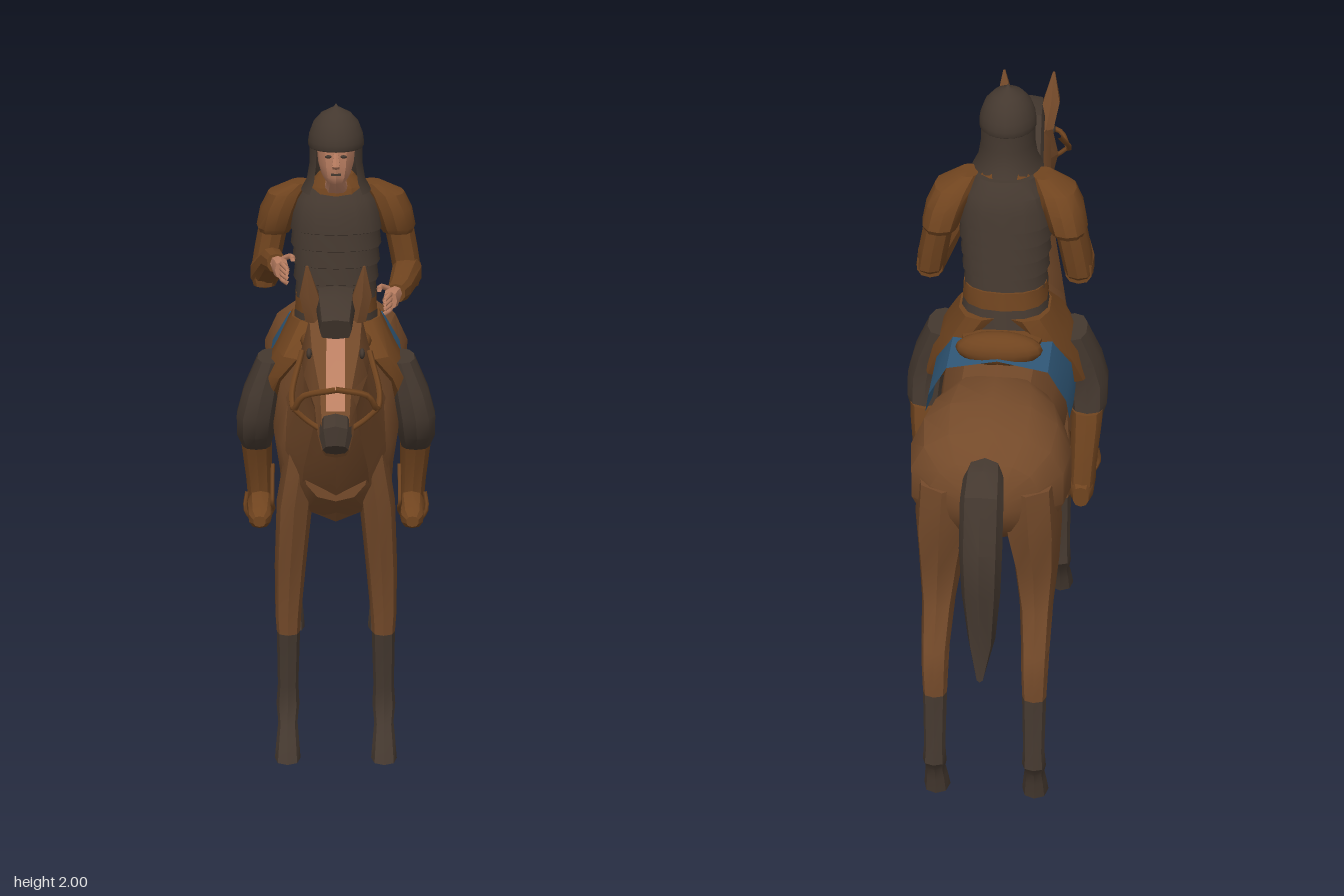
import * as THREE from 'three';
import { toCreasedNormals } from 'three/addons/utils/BufferGeometryUtils.js';

const mat = (name, color, extra = {}) => Object.assign(new THREE.MeshStandardMaterial({ color, ...extra }), { name });

export function createModel() {
  const root = new THREE.Group();
  root.name = 'horseAndRider';
  const coat = mat('chestnut coat', 0x744a2a);
  const leather = mat('brown leather', 0x70441f);
  const dark = mat('dark iron and hair', 0x44382f, { side: THREE.DoubleSide });
  const skin = mat('skin', 0xbb7f62, { side: THREE.DoubleSide });
  const blue = mat('blue cloth', 0x305878, { side: THREE.DoubleSide });

  const add = (name, geo, material, parent = root) => {
    const m = new THREE.Mesh(geo, material);
    m.name = name;
    parent.add(m);
    return m;
  };

  // Skin over rings; each ring is [zA, yA, zB, yB, halfWidth, centreX]
  function loft(rings, n = 10, power = 0.85, crease = 0.55) {
    const pos = [], idx = [];
    const bulge = (t) => Math.sign(t) * Math.pow(Math.abs(t), power);
    for (const [za, ya, zb, yb, w, cx = 0] of rings) {
      for (let i = 0; i < n; i++) {
        const a = (i / n) * Math.PI * 2;
        const c = Math.abs(Math.cos(a)) < 1e-6 ? 0 : bulge(Math.cos(a));
        const s = Math.abs(Math.sin(a)) < 1e-6 ? 0 : bulge(Math.sin(a));
        pos.push(cx + w * s, (ya + yb) / 2 + ((ya - yb) / 2) * c, (za + zb) / 2 + ((za - zb) / 2) * c);
      }
    }
    const last = (rings.length - 1) * n;
    for (let r = 0; r < last; r += n) {
      for (let i = 0; i < n; i++) {
        const j = (i + 1) % n;
        idx.push(r + i, r + n + i, r + j, r + j, r + n + i, r + n + j);
      }
    }
    for (const [za, ya, zb, yb, , cx = 0] of [rings[0], rings[rings.length - 1]]) pos.push(cx, (ya + yb) / 2, (za + zb) / 2);
    for (let i = 0; i < n; i++) {
      const j = (i + 1) % n;
      idx.push(last + n, i, j, last + n + 1, last + j, last + i);
    }
    // Turn the faces outward if the enclosed volume is negative
    const v = (k) => new THREE.Vector3().fromArray(pos, k * 3);
    let volume = 0;
    for (let k = 0; k < idx.length; k += 3) volume += v(idx[k]).dot(v(idx[k + 1]).cross(v(idx[k + 2])));
    if (volume < 0) idx.reverse();
    const g = new THREE.BufferGeometry();
    g.setAttribute('position', new THREE.Float32BufferAttribute(pos, 3));
    g.setIndex(idx);
    return toCreasedNormals(g, crease);
  }
  const level = (y, zFront, zBack, w, cx) => [zFront, y, zBack, y, w, cx];
  const upright = (z, yTop, yBottom, w) => [z, yTop, z, yBottom, w];

  // Open or thin sheet from rows of points of equal length
  function sheet(rows) {
    const n = rows[0].length, idx = [];
    for (let r = 0; r < rows.length - 1; r++) {
      for (let i = 0; i < n - 1; i++) {
        const a = r * n + i;
        idx.push(a, a + 1, a + n, a + 1, a + n + 1, a + n);
      }
    }
    const g = new THREE.BufferGeometry();
    g.setAttribute('position', new THREE.Float32BufferAttribute(rows.flat(2), 3));
    g.setIndex(idx);
    return toCreasedNormals(g, 0.5);
  }
  const tube = (pts, r) => new THREE.TubeGeometry(
    new THREE.CatmullRomCurve3(pts.map((p) => new THREE.Vector3(...p))), 20, r, 5);
  const ball = (name, x, y, z, sx, sy, sz, material) => {
    const m = add(name, new THREE.SphereGeometry(1, 16, 10), material);
    m.position.set(x, y, z);
    m.scale.set(sx, sy, sz);
  };

  // Horse body
  add('barrel', loft([upright(0.4, 1.12, 0.88, 0.1), upright(0.3, 1.25, 0.79, 0.165), upright(0.12, 1.27, 0.74, 0.19),
    upright(-0.1, 1.25, 0.73, 0.2), upright(-0.35, 1.25, 0.76, 0.185), upright(-0.55, 1.25, 0.8, 0.18)], 12), coat);
  add('rump', loft([upright(-0.43, 1.245, 0.86, 0.185), upright(-0.48, 1.255, 0.8, 0.215), upright(-0.6, 1.26, 0.81, 0.24),
    upright(-0.72, 1.225, 0.86, 0.225), upright(-0.8, 1.17, 0.93, 0.16), upright(-0.84, 1.1, 1.0, 0.07)], 14), coat);
  add('neck', loft([[0.08, 1.25, 0.3, 0.78, 0.17], [0.2, 1.28, 0.46, 0.97, 0.15], [0.4, 1.41, 0.55, 1.14, 0.1],
    [0.58, 1.55, 0.64, 1.3, 0.085], [0.66, 1.56, 0.68, 1.32, 0.08]], 10), coat);
  add('head', loft([[0.57, 1.55, 0.6, 1.32, 0.06], [0.69, 1.565, 0.66, 1.28, 0.1], [0.79, 1.5, 0.76, 1.275, 0.09],
    [0.9, 1.39, 0.87, 1.27, 0.058], [0.98, 1.31, 0.9, 1.225, 0.05], [0.985, 1.255, 0.945, 1.2, 0.038]], 8), coat);
  add('blaze', sheet([[0.765, 1.538], [0.79, 1.508], [0.903, 1.397], [0.96, 1.34]].map(([z, y]) =>
    [-0.026, 0.026].map((x) => [x, y, z + 0.003]))), skin);
  add('muzzle', loft([[0.967, 1.335, 0.925, 1.265, 0.043], [0.99, 1.305, 0.95, 1.235, 0.045], [0.992, 1.25, 0.962, 1.215, 0.035]], 8), dark);
  add('mane', loft([[0.82, 1.56, 0.8, 1.5, 0.045], [0.71, 1.6, 0.7, 1.52, 0.055], [0.6, 1.6, 0.58, 1.52, 0.06],
    [0.4, 1.47, 0.36, 1.37, 0.072], [0.2, 1.33, 0.2, 1.24, 0.055]], 8, 0.5), dark);
  add('tail', loft([[-0.77, 1.18, -0.8, 1.1, 0.05], [-0.85, 1.175, -0.82, 1.1, 0.058], [-0.92, 1.13, -0.85, 1.07, 0.062],
    [-0.98, 0.97, -0.875, 0.95, 0.062], [-0.985, 0.82, -0.865, 0.8, 0.056], [-0.96, 0.63, -0.86, 0.65, 0.04],
    [-0.98, 0.53, -0.93, 0.55, 0.012]], 8), dark);

  for (const s of [1, -1]) {
    const side = s > 0 ? 'left' : 'right';
    // Horse legs with dark lower parts and hooves
    add(side + 'FrontLeg', loft([level(1.02, 0.38, 0.14, 0.05, s * 0.1), level(0.84, 0.37, 0.16, 0.055, s * 0.125),
      level(0.62, 0.31, 0.18, 0.048, s * 0.14), level(0.46, 0.288, 0.195, 0.04, s * 0.147), level(0.4, 0.283, 0.2, 0.036, s * 0.147)], 8), coat);
    add(side + 'FrontSock', loft([level(0.4, 0.283, 0.2, 0.036, s * 0.147), level(0.22, 0.262, 0.2, 0.032, s * 0.149),
      level(0.15, 0.26, 0.185, 0.036, s * 0.15), level(0.1, 0.285, 0.22, 0.03, s * 0.15), level(0.055, 0.32, 0.24, 0.035, s * 0.15),
      level(0, 0.36, 0.25, 0.04, s * 0.15)], 8), dark);
    add(side + 'HindLeg', loft([level(1.08, -0.53, -0.83, 0.085, s * 0.12), level(0.92, -0.53, -0.835, 0.085, s * 0.13),
      level(0.78, -0.56, -0.795, 0.068, s * 0.14), level(0.65, -0.655, -0.8, 0.05, s * 0.145), level(0.53, -0.745, -0.855, 0.042, s * 0.148),
      level(0.47, -0.775, -0.87, 0.04, s * 0.148), level(0.38, -0.8, -0.868, 0.036, s * 0.148)], 8), coat);
    add(side + 'HindSock', loft([level(0.38, -0.8, -0.868, 0.036, s * 0.148), level(0.2, -0.83, -0.88, 0.032, s * 0.149),
      level(0.14, -0.82, -0.888, 0.036, s * 0.15), level(0.1, -0.8, -0.86, 0.03, s * 0.15), level(0.055, -0.775, -0.85, 0.035, s * 0.15),
      level(0, -0.74, -0.845, 0.04, s * 0.15)], 8), dark);

    // Horse ear, eye and bridle
    add(side + 'Ear', loft([level(1.52, 0.71, 0.64, 0.028, s * 0.06), level(1.6, 0.725, 0.67, 0.03, s * 0.075),
      level(1.69, 0.728, 0.718, 0.004, s * 0.08)], 6), coat);
    ball(side + 'HorseEye', s * 0.074, 1.455, 0.79, 0.008, 0.015, 0.02, dark);
    add(side + 'Bridle', tube([[s * 0.095, 1.45, 0.75], [s * 0.122, 1.36, 0.86], [s * 0.115, 1.33, 0.91], [s * 0.09, 1.375, 0.935],
      [0, 1.395, 0.94]], 0.009), leather);
    add(side + 'BitStrap', tube([[s * 0.115, 1.33, 0.91], [s * 0.08, 1.3, 0.915], [s * 0.045, 1.28, 0.93]], 0.008), leather);

    // Rider's coat skirt, trousers and boot
    add(side + 'CoatSkirt', loft([level(1.32, -0.01, -0.25, 0.08, s * 0.06), level(1.23, 0.085, -0.25, 0.065, s * 0.12),
      level(1.16, 0.06, -0.21, 0.05, s * 0.175), level(1.06, 0.0, -0.15, 0.045, s * 0.21)], 10), leather);
    add(side + 'Trousers', loft([level(1.2, 0.03, -0.14, 0.045, s * 0.2), level(1.1, 0.045, -0.13, 0.06, s * 0.23),
      level(1.02, 0.045, -0.12, 0.065, s * 0.247), level(0.95, 0.02, -0.135, 0.06, s * 0.252), level(0.9, -0.03, -0.14, 0.045, s * 0.25)], 10), dark);
    add(side + 'BootShaft', loft([level(0.94, -0.02, -0.15, 0.05, s * 0.25), level(0.9, -0.035, -0.16, 0.049, s * 0.25),
      level(0.78, -0.08, -0.185, 0.042, s * 0.245), level(0.68, -0.09, -0.2, 0.04, s * 0.24)], 10), leather);
    add(side + 'BootFoot', loft([upright(0.03, 0.7, 0.665, 0.02), upright(0.0, 0.715, 0.65, 0.035), upright(-0.08, 0.745, 0.645, 0.042),
      upright(-0.17, 0.74, 0.635, 0.038), upright(-0.2, 0.71, 0.64, 0.025)].map((r) => [...r, s * 0.24]), 10), leather);
    add(side + 'Stirrup', tube([[s * 0.2, 0.84, -0.07], [s * 0.2, 0.74, 0.01], [s * 0.2, 0.7, -0.03], [s * 0.24, 0.645, -0.05],
      [s * 0.285, 0.7, -0.03], [s * 0.28, 0.76, -0.04]], 0.007), leather);

    // Rider's arm and hand; the right hand is held higher
    const hy = s > 0 ? 1.445 : 1.525, hz = s > 0 ? 0.1 : 0.045;
    add(side + 'Sleeve', loft([level(1.745, -0.06, -0.15, 0.03, s * 0.11), level(1.71, -0.045, -0.195, 0.06, s * 0.15),
      level(1.66, -0.04, -0.225, 0.062, s * 0.172), level(1.6, -0.05, -0.235, 0.058, s * 0.188), level(1.585, -0.06, -0.225, 0.05, s * 0.19)], 12), leather);
    add(side + 'UpperArm', loft([level(1.62, -0.07, -0.22, 0.047, s * 0.19), level(1.52, -0.07, -0.215, 0.046, s * 0.21),
      level(1.45, -0.065, -0.205, 0.045, s * 0.222), [-0.07, 1.415, -0.16, 1.415, 0.035, s * 0.222]], 10), leather);
    add(side + 'Forearm', loft([upright(-0.18, 1.5, 1.42, 0.04), upright(-0.1, 1.51, 1.405, 0.047), upright(hz - 0.05, hy + 0.035, hy - 0.04, 0.036),
      upright(hz + 0.01, hy + 0.03, hy - 0.03, 0.03)].map((r, i) => [...r, s * [0.222, 0.22, 0.195, 0.18][i]]), 10), leather);
    add(side + 'Hand', loft([upright(hz, hy + 0.022, hy - 0.022, 0.022), upright(hz + 0.05, hy + 0.03, hy - 0.035, 0.025),
      upright(hz + 0.085, hy + 0.025, hy - 0.03, 0.022)].map((r, i) => [...r, s * [0.18, 0.168, 0.162][i]]), 8), skin);
    for (let f = 0; f < 4; f++) {
      const y = hy + 0.018 - f * 0.016;
      add(side + 'Finger', tube([[s * 0.165, y, hz + 0.08], [s * 0.158, y + 0.003, hz + 0.11], [s * 0.145, y - 0.006, hz + 0.128 - f * 0.006]], 0.0075), skin);
    }
    add(side + 'Thumb', tube([[s * 0.16, hy + 0.02, hz + 0.03], [s * 0.135, hy + 0.035, hz + 0.06], [s * 0.13, hy + 0.032, hz + 0.085]], 0.009), skin);

    ball(side + 'Eye', s * 0.023, 1.853, 0.046, 0.01, 0.005, 0.006, dark);
  }

  // Saddle cloth draped over the back, saddle seat and rolls
  const drape = (z, low) => [[-0.215, low], [-0.205, 1.15], [-0.15, 1.245], [0, 1.275], [0.15, 1.245], [0.205, 1.15], [0.215, low]]
    .map(([x, y]) => [x, y, z]);
  add('saddleCloth', sheet([drape(-0.41, 1.09), drape(-0.22, 1.03), drape(-0.14, 1.03), drape(0.03, 1.11)]), blue);
  add('saddleSeat', loft([upright(0.08, 1.29, 1.2, 0.08), upright(-0.05, 1.29, 1.2, 0.13), upright(-0.22, 1.29, 1.2, 0.13), upright(-0.34, 1.29, 1.22, 0.1)]), leather);
  ball('frontSaddleRoll', 0, 1.28, 0.05, 0.11, 0.05, 0.05, leather);
  ball('rearSaddleRoll', 0, 1.282, -0.345, 0.13, 0.052, 0.052, leather);

  // Rider's torso: coat hem, belt and banded armour
  add('armourHem', loft([level(1.27, 0.0, -0.255, 0.14), level(1.37, 0.0, -0.225, 0.125)], 14), dark);
  add('belt', loft([level(1.345, 0.008, -0.235, 0.13), level(1.4, 0.008, -0.228, 0.127)], 14), leather);
  const bands = [];
  for (let i = 0; i < 5; i++) {
    const y = 1.39 + i * 0.054, grow = i * 0.004;
    bands.push(level(y, 0.012 + grow, -0.222 - grow, 0.128 + grow), level(y + 0.05, 0.004 + grow, -0.212 - grow, 0.122 + grow));
  }
  add('armour', loft([...bands, level(1.7, 0.0, -0.215, 0.125), level(1.745, -0.03, -0.18, 0.09)], 16), dark);
  add('collar', loft([level(1.68, -0.005, -0.17, 0.09), level(1.74, -0.015, -0.165, 0.085), level(1.775, -0.04, -0.14, 0.055)], 12), leather);
  add('chestOpening', sheet([[[-0.05, 1.735, -0.008], [0.05, 1.735, -0.008]], [[-0.045, 1.69, 0.014], [0.045, 1.69, 0.014]],
    [[-0.02, 1.645, 0.027], [0.02, 1.645, 0.027]]]), leather.clone().copy(leather) && leather);

  // Rider's head
  add('face', loft([level(1.72, -0.02, -0.12, 0.045), level(1.765, 0.03, -0.12, 0.032), level(1.785, 0.04, -0.12, 0.045),
    level(1.82, 0.043, -0.12, 0.054), level(1.86, 0.044, -0.12, 0.058), level(1.91, 0.04, -0.12, 0.06)], 12), skin);
  add('nose', loft([level(1.862, 0.05, 0.03, 0.007), level(1.825, 0.07, 0.03, 0.013), level(1.815, 0.055, 0.03, 0.011)], 6), skin);
  add('mouth', new THREE.BoxGeometry(0.03, 0.005, 0.006), dark).position.set(0, 1.797, 0.042);

  // Helmet dome and neck guard, open at the face
  const lathe = (name, pts, start, length) => {
    const m = add(name, new THREE.LatheGeometry(pts.map((p) => new THREE.Vector2(...p)), 20, start, length), dark);
    m.position.z = -0.04;
    m.scale.x = 0.82;
  };
  lathe('helmet', [[0.098, 1.868], [0.103, 1.872], [0.103, 1.888], [0.099, 1.91], [0.083, 1.945], [0.055, 1.97], [0.02, 1.985], [0.008, 1.99], [0, 2]], 0, Math.PI * 2);
  lathe('neckGuard', [[0.13, 1.735], [0.108, 1.77], [0.098, 1.82], [0.098, 1.88]], 0.85, Math.PI * 2 - 1.7);

  return root;
}
